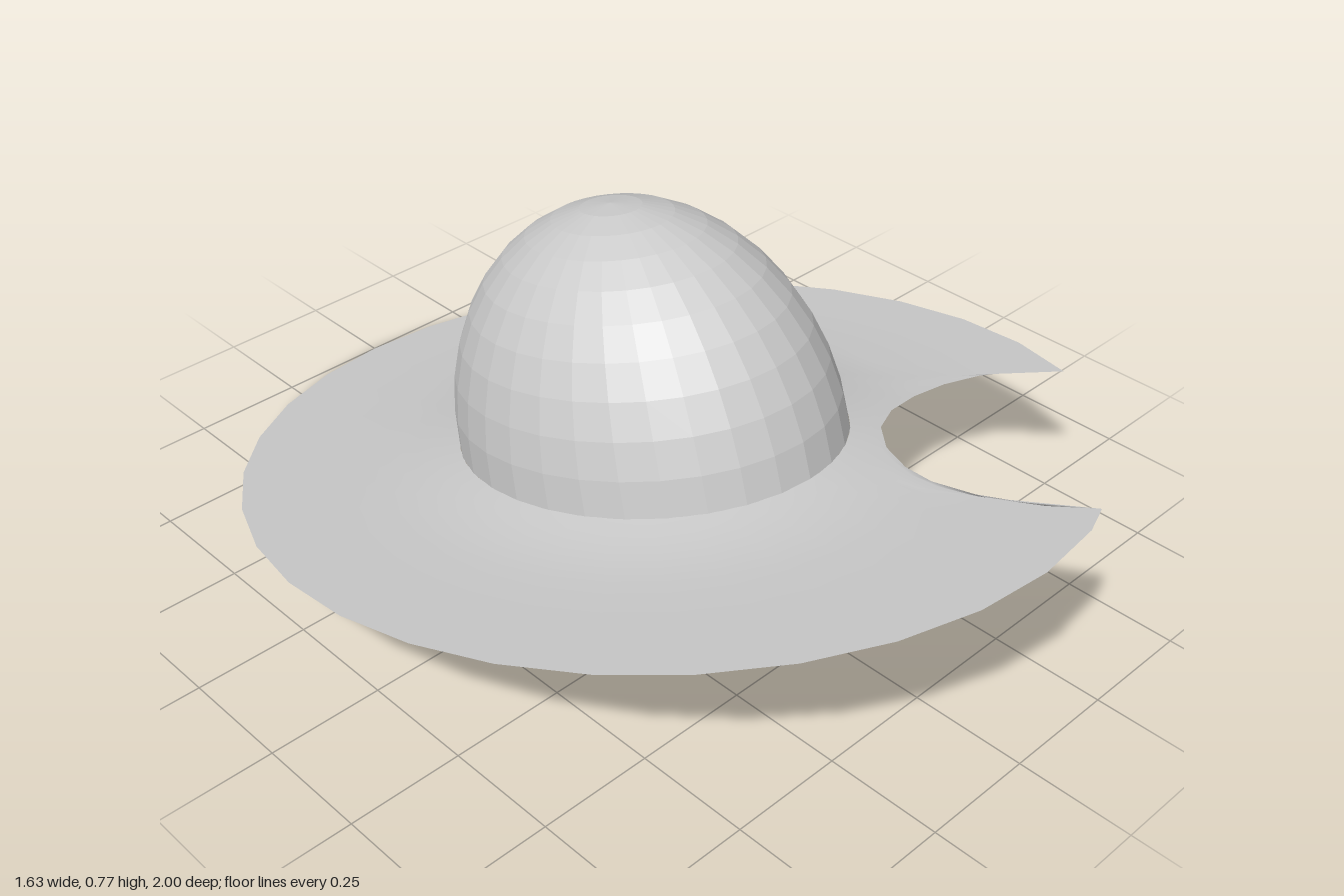
import * as THREE from 'three';

const TILT = Math.atan(0.2325);      // the front of the hat is raised
const RIM_X = 0.817, RIM_Z = 1;      // brim half-sizes seen from above
const CROWN_X = 0.37, CROWN_Z = 0.452, CROWN_OFFSET = -0.007;
const RAD = Math.PI / 180;

const material = () => new THREE.MeshStandardMaterial({
  color: 0xcccccc, side: THREE.DoubleSide,
});

// Tilted brim surface, flaring up gently where it meets the crown
function brimHeight(x, z) {
  const r = Math.hypot(x / CROWN_X, (z - CROWN_OFFSET) / CROWN_Z);
  const flare = 0.035 * Math.pow(Math.min(1, Math.max(0, 1 - (r - 1) / 0.5)), 1.5);
  return 0.2335 + 0.2325 * z + flare;
}

// Outline of the brim, each point paired with an angle on the crown opening
function brimOutline() {
  const outline = [];

  // Bite taken out of the front left of the brim
  const bite = [
    [0.233, 0.952], [0.19, 0.86], [0.16, 0.76], [0.15, 0.65], [0.165, 0.55],
    [0.2, 0.47], [0.26, 0.405], [0.34, 0.367], [0.43, 0.354], [0.51, 0.37],
    [0.58, 0.41], [0.64, 0.475], [0.68, 0.552],
  ];
  bite.forEach(([x, z], i) => outline.push({ x, z, inner: (5 + 6.25 * i) * RAD }));

  // Remaining oval rim
  for (let k = 6; k <= 33; k++) {
    const a = 11.25 * k;
    const inner = 80 + (a - 56.3) / (376.6 - 56.3) * 285;
    outline.push({
      x: RIM_X * Math.sin(a * RAD), z: RIM_Z * Math.cos(a * RAD), inner: inner * RAD,
    });
  }
  return outline;
}

function createBrim() {
  const outline = brimOutline();
  const steps = [0, 0.08, 0.2, 0.4, 0.7, 1];
  const n = outline.length;
  const positions = [], index = [];

  // Rings running from the crown opening out to the outline
  for (const t of steps) {
    for (const p of outline) {
      const x = THREE.MathUtils.lerp(CROWN_X * Math.sin(p.inner), p.x, t);
      const z = THREE.MathUtils.lerp(CROWN_Z * Math.cos(p.inner) + CROWN_OFFSET, p.z, t);
      positions.push(x, brimHeight(x, z), z);
    }
  }
  for (let r = 0; r < steps.length - 1; r++) {
    for (let i = 0; i < n; i++) {
      const j = (i + 1) % n;
      const a = r * n + i, b = r * n + j, c = a + n, d = b + n;
      index.push(a, c, b, b, c, d);
    }
  }
  const geometry = new THREE.BufferGeometry();
  geometry.setAttribute('position', new THREE.Float32BufferAttribute(positions, 3));
  geometry.setIndex(index);
  geometry.computeVertexNormals();
  const brim = new THREE.Mesh(geometry, material());
  brim.name = 'brim';
  return brim;
}

// Hollow oval dome, open underneath
function createCrown() {
  const geometry = new THREE.SphereGeometry(1, 32, 10, 0, Math.PI * 2, 0, Math.PI / 2);
  geometry.scale(CROWN_X, 0.507, 0.465);
  const mat = material();
  mat.flatShading = true;
  const crown = new THREE.Mesh(geometry, mat);
  crown.name = 'crown';
  crown.rotation.x = -TILT;
  crown.position.set(0, 0.266, CROWN_OFFSET);
  return crown;
}

export function createModel() {
  const hat = new THREE.Group();
  hat.name = 'hat';
  hat.add(createBrim(), createCrown());
  return hat;
}
